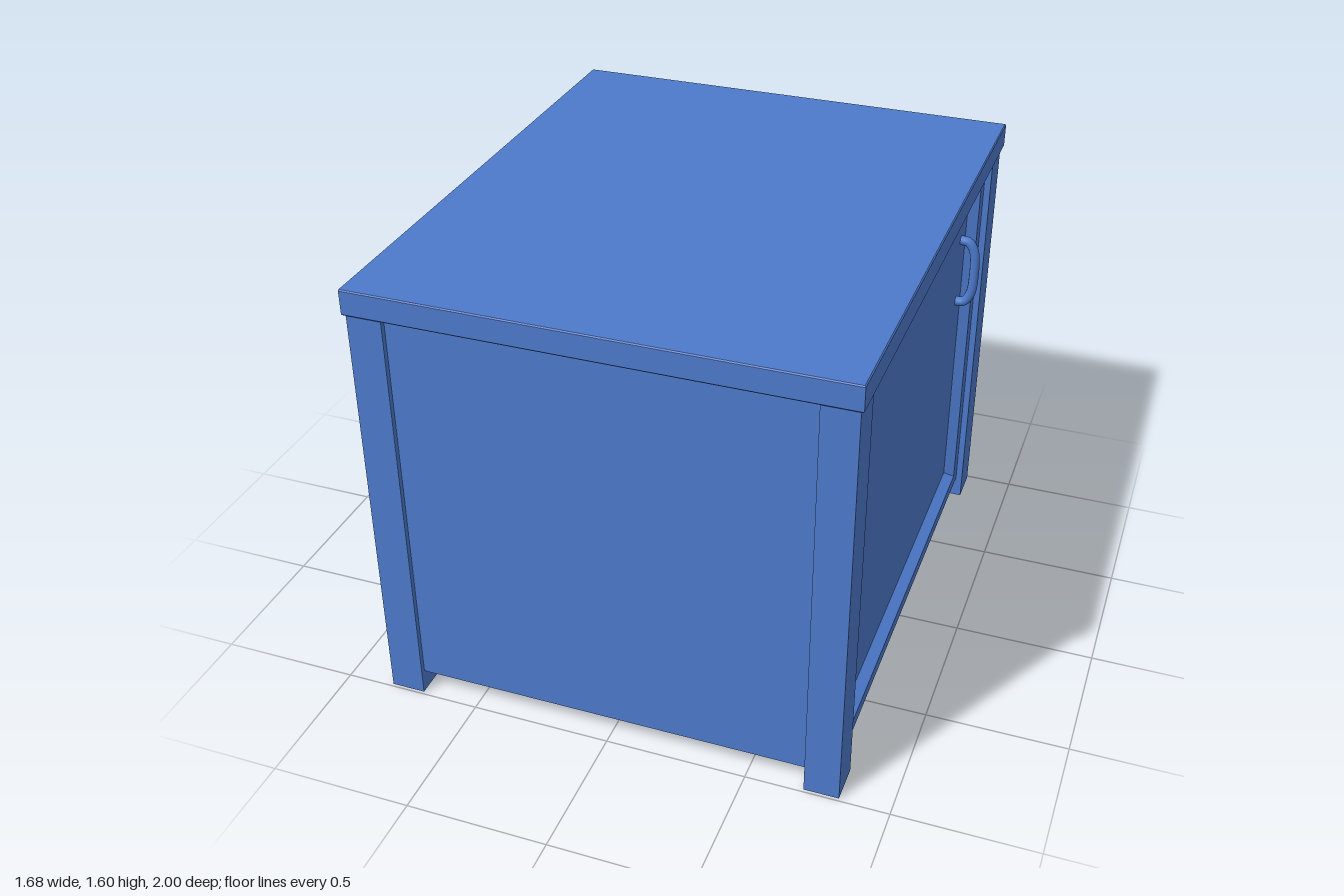
import * as THREE from 'three';

const material = new THREE.MeshStandardMaterial({ color: 0x4d7acb, side: THREE.DoubleSide });

// Flat-faced sheet joining successive four-point rings, with the last ring capped.
function ringSheet(rings, closed) {
  const pos = [];
  const quad = (a, b, c, d) => pos.push(...a, ...b, ...c, ...a, ...c, ...d);
  for (let r = 0; r < rings.length - 1; r++) {
    const A = rings[r], B = rings[r + 1];
    for (let k = 0; k < (closed ? 4 : 3); k++) {
      const n = (k + 1) % 4;
      quad(A[k], A[n], B[n], B[k]);
    }
  }
  quad(...rings[rings.length - 1]);
  const geo = new THREE.BufferGeometry();
  geo.setAttribute('position', new THREE.Float32BufferAttribute(pos, 3));
  geo.computeVertexNormals();
  return geo;
}

export function createModel() {
  const group = new THREE.Group();
  const add = (name, geo, x = 0, y = 0, z = 0) => {
    const mesh = new THREE.Mesh(geo, material);
    mesh.name = name;
    mesh.position.set(x, y, z);
    group.add(mesh);
    return mesh;
  };

  // Table top: hollow shell with bevelled edges, open on the -x side
  const topRing = (inset, y) => [
    [-0.84, y, 1 - inset], [0.835 - inset, y, 1 - inset],
    [0.835 - inset, y, -1 + inset], [-0.84, y, -1 + inset],
  ];
  add('tableTop', ringSheet([
    topRing(0.03, 1.51), topRing(0.005, 1.51), topRing(0, 1.515),
    topRing(0, 1.597), topRing(0.004, 1.601),
  ], false));

  // Four square legs
  for (const x of [-0.77, 0.763]) {
    for (const z of [-0.92, 0.92]) {
      add('leg', new THREE.BoxGeometry(0.122, 1.51, 0.138), x, 0.755, z);
    }
  }

  // Thin front and back panels, set slightly behind the legs
  for (const side of [1, -1]) {
    const panel = add(side > 0 ? 'frontPanel' : 'backPanel',
      new THREE.PlaneGeometry(1.414, 1.428), -0.004, 0.796, side * 0.97);
    if (side < 0) panel.rotation.y = Math.PI;
  }

  // Door side: frame with a bevelled recess
  const doorRing = (x, z0, z1, y0, y1) => [[x, y0, z1], [x, y0, z0], [x, y1, z0], [x, y1, z1]];
  add('doorPanel', ringSheet([
    doorRing(0.8, -0.853, 0.853, 0.082, 1.51),
    doorRing(0.8, -0.79, 0.782, 0.13, 1.456),
    doorRing(0.76, -0.778, 0.77, 0.146, 1.432),
  ], true));

  // Curved door handle
  const path = new THREE.CatmullRomCurve3([
    [0.755, 0.992], [0.79, 0.996], [0.812, 1.03], [0.82, 1.12],
    [0.812, 1.21], [0.79, 1.244], [0.755, 1.248],
  ].map(([x, y]) => new THREE.Vector3(x, y, -0.695)));
  add('doorHandle', new THREE.TubeGeometry(path, 32, 0.018, 12));

  return group;
}
